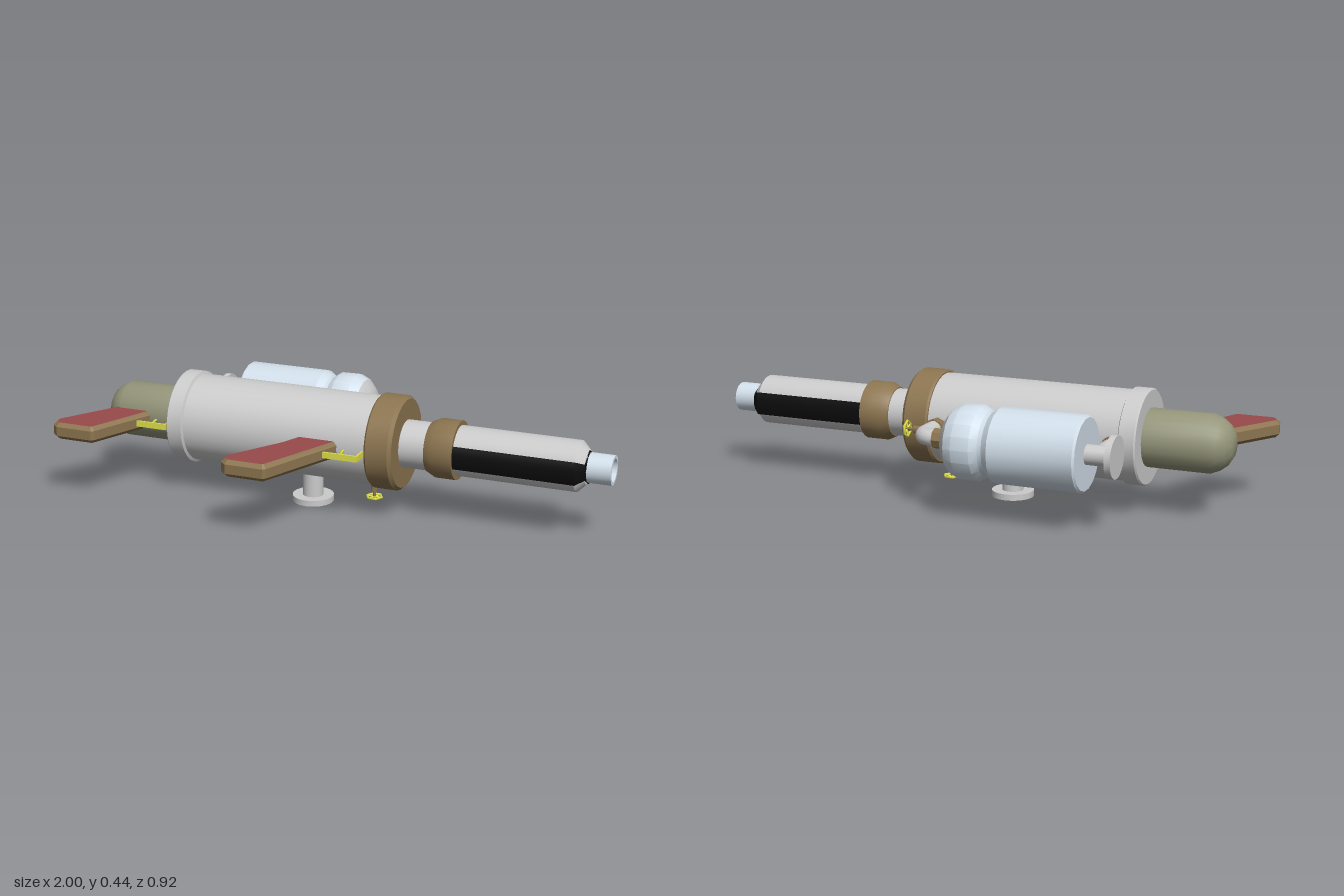
import * as THREE from 'three';
import { toCreasedNormals } from 'three/addons/utils/BufferGeometryUtils.js';

const mat = (color) => new THREE.MeshStandardMaterial({ color, side: THREE.DoubleSide });
const GREY = mat(0xcccccc), BROWN = mat(0x8c7550), OLIVE = mat(0x94957a), RED = mat(0x984a4a),
  YELLOW = mat(0xe0e04c), BLUE = mat(0xd2dfea), BLACK = mat(0x0c0c0c);
const AY = 0.265, AZ = -0.024, TZ = -0.328; // barrel axis height and depth, tank depth

export function createModel() {
  const root = new THREE.Group();

  const add = (name, geo, material, parent = root) => {
    const mesh = new THREE.Mesh(geo, material);
    mesh.name = name;
    parent.add(mesh);
    return mesh;
  };

  // Turned part along x; points are [x, radius]
  const turned = (name, pts, material, z = AZ, seg = 32, start = 0, sweep = Math.PI * 2) => {
    const geo = new THREE.LatheGeometry(pts.map(([x, r]) => new THREE.Vector2(r, x)), seg, start, sweep);
    const mesh = add(name, toCreasedNormals(geo, 0.55), material);
    mesh.rotation.z = -Math.PI / 2;
    mesh.position.set(0, AY, z);
    return mesh;
  };

  // Plain cylinder between two points
  const rod = (name, a, b, r, material, seg = 16, parent = root) => {
    const p = new THREE.Vector3(...a), d = new THREE.Vector3(...b).sub(p);
    const mesh = add(name, toCreasedNormals(new THREE.CylinderGeometry(r, r, d.length(), seg), 0.9), material, parent);
    mesh.position.copy(p).addScaledVector(d, 0.5);
    mesh.quaternion.setFromUnitVectors(new THREE.Vector3(0, 1, 0), d.normalize());
    return mesh;
  };

  // Main body, collars and rear dome
  turned('body', [[-0.57, 0], [-0.57, 0.16], [0.17, 0.16], [0.17, 0]], GREY);
  turned('rearRing', [[-0.62, 0], [-0.62, 0.165], [-0.615, 0.17], [-0.56, 0.17], [-0.555, 0.16]], GREY);
  turned('frontCollar', [[0.15, 0.158], [0.15, 0.165], [0.157, 0.171], [0.238, 0.171], [0.25, 0.16], [0.25, 0]], BROWN);
  turned('rearDome', [[-0.92, 0], [-0.918, 0.04], [-0.9, 0.07], [-0.875, 0.09], [-0.845, 0.103], [-0.61, 0.103]], OLIVE, AZ, 24);

  // Neck, barrel and muzzle
  turned('neck', [[0.24, 0.086], [0.36, 0.086]], GREY);
  turned('barrelCollar', [[0.343, 0.08], [0.343, 0.09], [0.375, 0.106], [0.45, 0.106], [0.45, 0]], BROWN);
  turned('barrel', [[0.45, 0.09], [0.88, 0.09], [0.91, 0.06], [0.91, 0]], GREY);
  for (const mid of [0, Math.PI]) {
    turned('barrelSidePanel', [[0.45, 0.08], [0.45, 0.096], [0.885, 0.096], [0.913, 0.066], [0.913, 0.04]],
      BLACK, AZ, 8, mid - 0.45, 0.9);
  }
  turned('muzzlePlate', [[0.9, 0], [0.9, 0.061], [0.915, 0.061], [0.915, 0]], BLACK, AZ, 6, Math.PI / 6);
  turned('muzzle', [[0.9, 0.053], [1, 0.053], [1, 0.041], [0.92, 0.041], [0.92, 0]], BLUE, AZ, 24);

  // Side tank with a waist and a domed end
  turned('tank', [[-0.5, 0], [-0.5, 0.125], [-0.493, 0.132], [-0.19, 0.132], [-0.165, 0.115], [-0.15, 0.115],
    [-0.125, 0.131], [-0.06, 0.132], [-0.025, 0.115]], BLUE, TZ, 18);
  turned('tankCap', [[-0.025, 0.115], [0, 0.085], [0.012, 0.05], [0.012, 0]], GREY, TZ, 18);

  // Rear tank fitting
  turned('tankFlange', [[-0.605, 0], [-0.605, 0.074], [-0.583, 0.074], [-0.583, 0.035], [-0.49, 0.035]], GREY, TZ, 20);
  rod('rearPipe', [-0.54, AY, TZ], [-0.54, AY, -0.18], 0.03, GREY);
  rod('rearPipeRing', [-0.54, AY, -0.216], [-0.54, AY, -0.17], 0.035, BROWN, 8);

  // Front tank elbow
  turned('tankOutletRing', [[0, 0.036], [0.055, 0.036], [0.055, 0]], BROWN, TZ, 8);
  const elbow = new THREE.CurvePath();
  const v = (x, z) => new THREE.Vector3(x, AY, z);
  elbow.add(new THREE.LineCurve3(v(0.03, TZ), v(0.065, TZ)));
  elbow.add(new THREE.QuadraticBezierCurve3(v(0.065, TZ), v(0.113, TZ), v(0.113, TZ + 0.05)));
  elbow.add(new THREE.LineCurve3(v(0.113, TZ + 0.05), v(0.113, -0.16)));
  add('elbowPipe', new THREE.TubeGeometry(elbow, 24, 0.03, 14), GREY);
  rod('elbowRing', [0.113, AY, -0.216], [0.113, AY, -0.16], 0.035, BROWN, 8);

  // Stem with a spoked hand wheel; local y points outward
  const valve = (name, x, y, z) => {
    const g = new THREE.Group();
    g.name = name;
    g.position.set(x, y, z);
    rod('valveSeat', [0, 0, 0], [0, 0.04, 0], 0.013, BROWN, 8, g);
    rod('valveStem', [0, 0.04, 0], [0, 0.075, 0], 0.006, BROWN, 8, g);
    const rim = add('valveWheel', new THREE.TorusGeometry(0.028, 0.005, 6, 6), YELLOW, g);
    rim.rotation.x = Math.PI / 2;
    rim.position.y = 0.066;
    for (let i = 0; i < 3; i++) {
      const c = 0.027 * Math.cos(i * Math.PI / 3), s = 0.027 * Math.sin(i * Math.PI / 3);
      rod('wheelSpoke', [-c, 0.066, -s], [c, 0.066, s], 0.003, YELLOW, 6, g);
    }
    root.add(g);
    return g;
  };
  valve('sideValve', 0.135, AY, -0.243).rotation.z = -Math.PI / 2;
  valve('bottomValve', 0.13, 0.112, AZ).rotation.z = Math.PI;

  // Bottom stand pipe
  rod('standPipe', [-0.11, 0.01, AZ], [-0.11, 0.13, AZ], 0.038, GREY, 20);
  rod('standFlange', [-0.11, 0, AZ], [-0.11, 0.022, AZ], 0.076, GREY, 24);

  // Grips: bevelled slabs with coloured faces; points are [x, z]
  const outline = [[-0.1, 0.09], [0.065, 0.09], [-0.085, 0.445], [-0.095, 0.455], [-0.235, 0.455],
    [-0.258, 0.435], [-0.265, 0.4], [-0.14, 0.2], [-0.115, 0.14]];
  const grip = (name, dx, dz) => {
    const shape = new THREE.Shape(outline.map(([x, z]) => new THREE.Vector2(x + dx, -z - dz)));
    const geo = new THREE.ExtrudeGeometry(shape,
      { depth: 0.034, bevelThickness: 0.014, bevelSize: 0.014, bevelOffset: -0.014, bevelSegments: 1 });
    const mesh = add(name, geo, [RED, BROWN]);
    mesh.rotation.x = -Math.PI / 2;
    mesh.position.y = AY - 0.019;
  };
  grip('frontGrip', 0, 0);
  grip('rearGrip', -0.735, -0.13);

  // Trigger guard strip and trigger
  const box = (name, x0, x1, z0, z1, h) => {
    add(name, new THREE.BoxGeometry(x1 - x0, h, z1 - z0), YELLOW)
      .position.set((x0 + x1) / 2, AY - 0.002, (z0 + z1) / 2);
  };
  const trigger = (x0, x1, top, z) => {
    box('guardBar', x0, x1, z - 0.007, z, 0.022);
    box('guardPost', x1 - 0.007, x1, top, z, 0.022);
    const tx = x0 + (x1 - x0) * 0.5;
    const curve = new THREE.QuadraticBezierCurve3(
      v(tx - 0.005, top), v(tx - 0.012, z - 0.04), v(tx + 0.004, z - 0.018));
    add('trigger', new THREE.TubeGeometry(curve, 8, 0.005, 6), YELLOW);
  };
  trigger(0.01, 0.148, 0.12, 0.199);
  trigger(-0.75, -0.626, 0.06, 0.137);

  return root;
}
